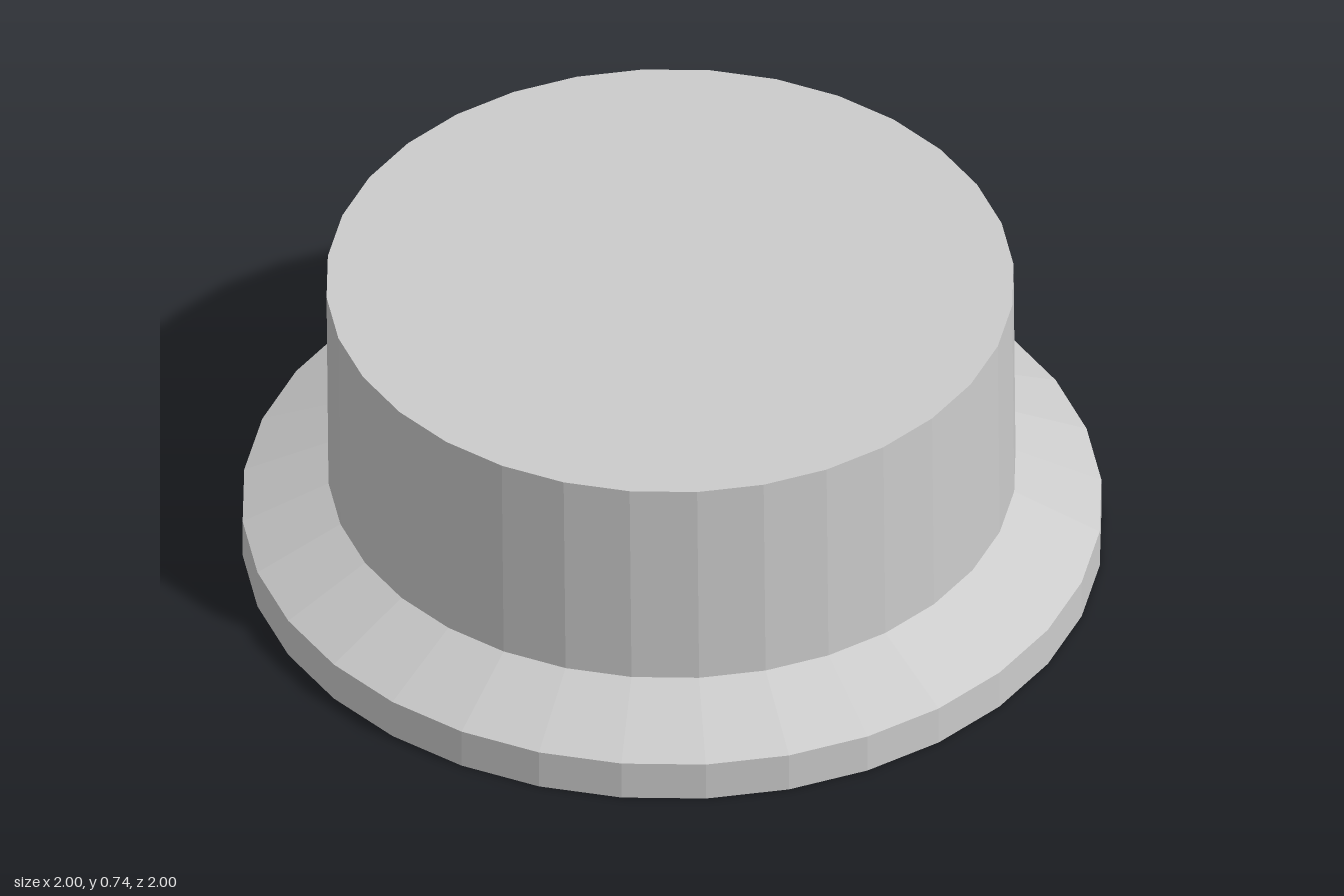
import * as THREE from 'three';

const SIDES = 32;
const material = new THREE.MeshStandardMaterial({ color: 0xcccccc, flatShading: true });

// One faceted band between two heights
function band(name, topRadius, bottomRadius, y0, y1) {
  const geometry = new THREE.CylinderGeometry(topRadius, bottomRadius, y1 - y0, SIDES, 1, true);
  geometry.translate(0, (y0 + y1) / 2, 0);
  const mesh = new THREE.Mesh(geometry, material);
  mesh.name = name;
  return mesh;
}

// Flat disc closing an end, facing up (1) or down (-1)
function cap(name, radius, y, facing) {
  const geometry = new THREE.CircleGeometry(radius, SIDES);
  geometry.rotateX(-facing * Math.PI / 2);
  geometry.translate(0, y, 0);
  const mesh = new THREE.Mesh(geometry, material);
  mesh.name = name;
  return mesh;
}

export function createModel() {
  const model = new THREE.Group();
  model.name = 'flangedKnob';

  // Base flange: underside, rim and sloped shoulder
  model.add(
    cap('underside', 1, 0, -1),
    band('rim', 1, 1, 0, 0.1),
    band('shoulder', 0.8, 1, 0.1, 0.2),
  );

  // Upper drum, leaning very slightly backwards
  const drum = band('drum', 0.8, 0.8, 0.2, 0.74);
  const top = cap('drumTop', 0.8, 0.74, 1);
  const lean = new THREE.Matrix4().set(
    1, 0, 0, 0,
    0, 1, 0, 0,
    0, -0.01 / 0.54, 1, 0.2 * 0.01 / 0.54,
    0, 0, 0, 1,
  );
  for (const part of [drum, top]) {
    part.geometry.applyMatrix4(lean);
    model.add(part);
  }
  return model;
}
